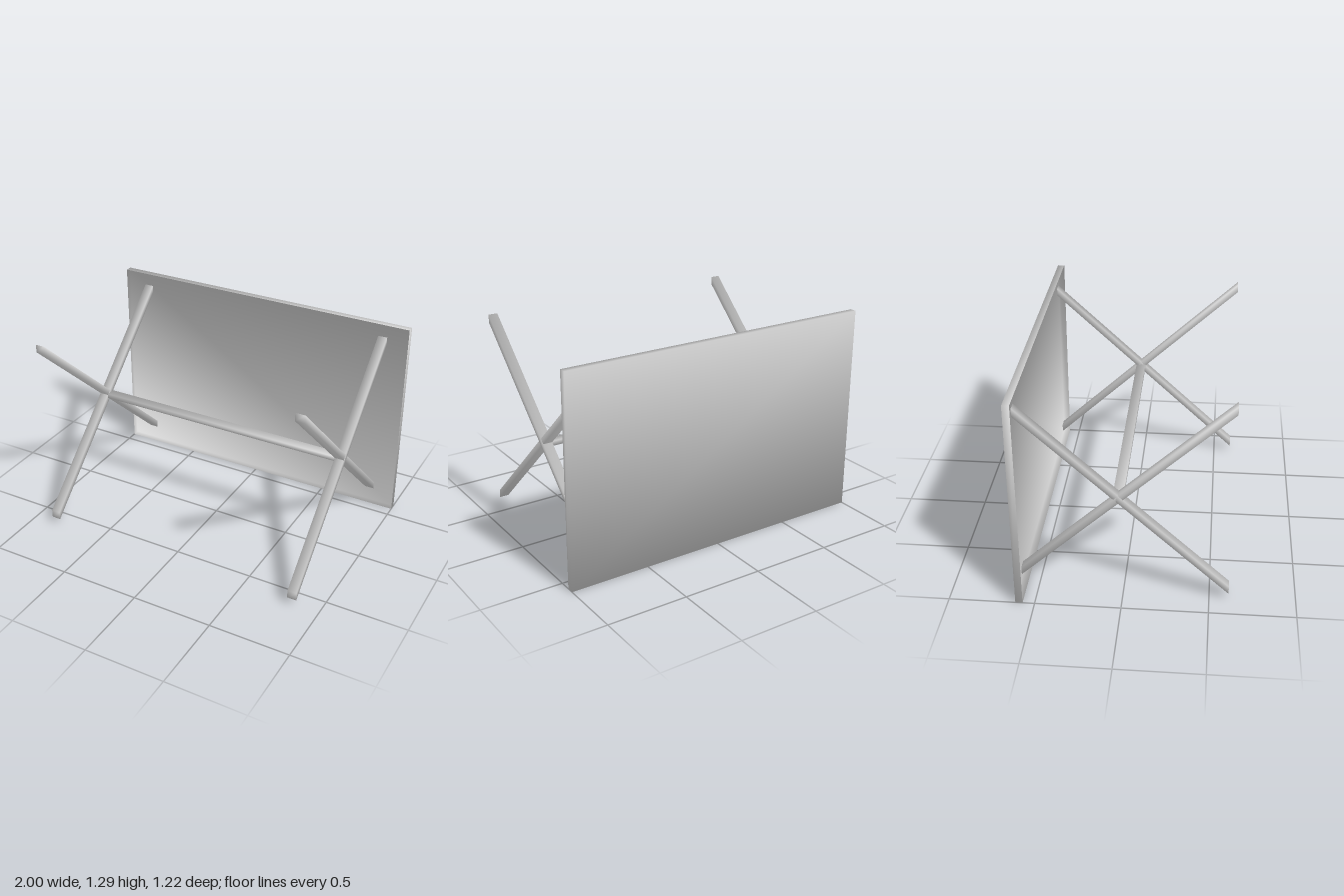
import * as THREE from 'three';

const solid = new THREE.MeshStandardMaterial({ color: 0xcccccc });
const shell = new THREE.MeshStandardMaterial({ color: 0xcccccc, side: THREE.DoubleSide });

// Smooth-shaded box, optionally sheared so y rises with z by the given slope.
// Corner normals blend the three adjoining faces.
function smoothBox(width, height, depth, slope = 0) {
  const geometry = new THREE.BoxGeometry(width, height, depth);
  const { position, normal } = geometry.attributes;
  const up = new THREE.Vector3(0, 1, -slope).normalize();
  const blend = new THREE.Vector3();
  for (let i = 0; i < position.count; i++) {
    blend.set(Math.sign(position.getX(i)), 0, Math.sign(position.getZ(i)));
    blend.addScaledVector(up, Math.sign(position.getY(i))).normalize();
    normal.setXYZ(i, blend.x, blend.y, blend.z);
    position.setY(i, position.getY(i) + slope * position.getZ(i));
  }
  return geometry;
}

// Thin box without its front (+z) face, the fifth of six index groups.
function openFrontBox(width, height, depth) {
  const geometry = smoothBox(width, height, depth);
  const index = Array.from(geometry.index.array);
  index.splice(24, 6);
  geometry.setIndex(index);
  geometry.clearGroups();
  return geometry;
}

function addMesh(parent, name, geometry, material, x, y, z) {
  const mesh = new THREE.Mesh(geometry, material);
  mesh.name = name;
  mesh.position.set(x, y, z);
  parent.add(mesh);
}

export function createModel() {
  const table = new THREE.Group();
  table.name = 'tippedTable';

  // Table top standing on its long edge: outer panel and rim, open underneath
  addMesh(table, 'tableTop', openFrontBox(2, 1.294, 0.042), shell, 0, 0.647, -0.591);

  // A crossed pair of legs at each end, reaching halfway into the rim
  const legDepth = 1.204, legSlope = 0.927;
  for (const [side, x] of [['right', -0.84], ['left', 0.829]]) {
    const pair = new THREE.Group();
    pair.name = side + 'CrossedLegs';
    addMesh(pair, side + 'RisingLeg', smoothBox(0.058, 0.05, legDepth, -legSlope), solid, x, 0.622, 0.01);
    addMesh(pair, side + 'FallingLeg', smoothBox(0.058, 0.05, legDepth, legSlope), solid, x, 0.687, 0.01);
    table.add(pair);
  }

  // Flat stretcher joining the two crossings
  addMesh(table, 'stretcher', smoothBox(1.612, 0.03, 0.06), solid, -0.005, 0.647, -0.028);

  return table;
}
